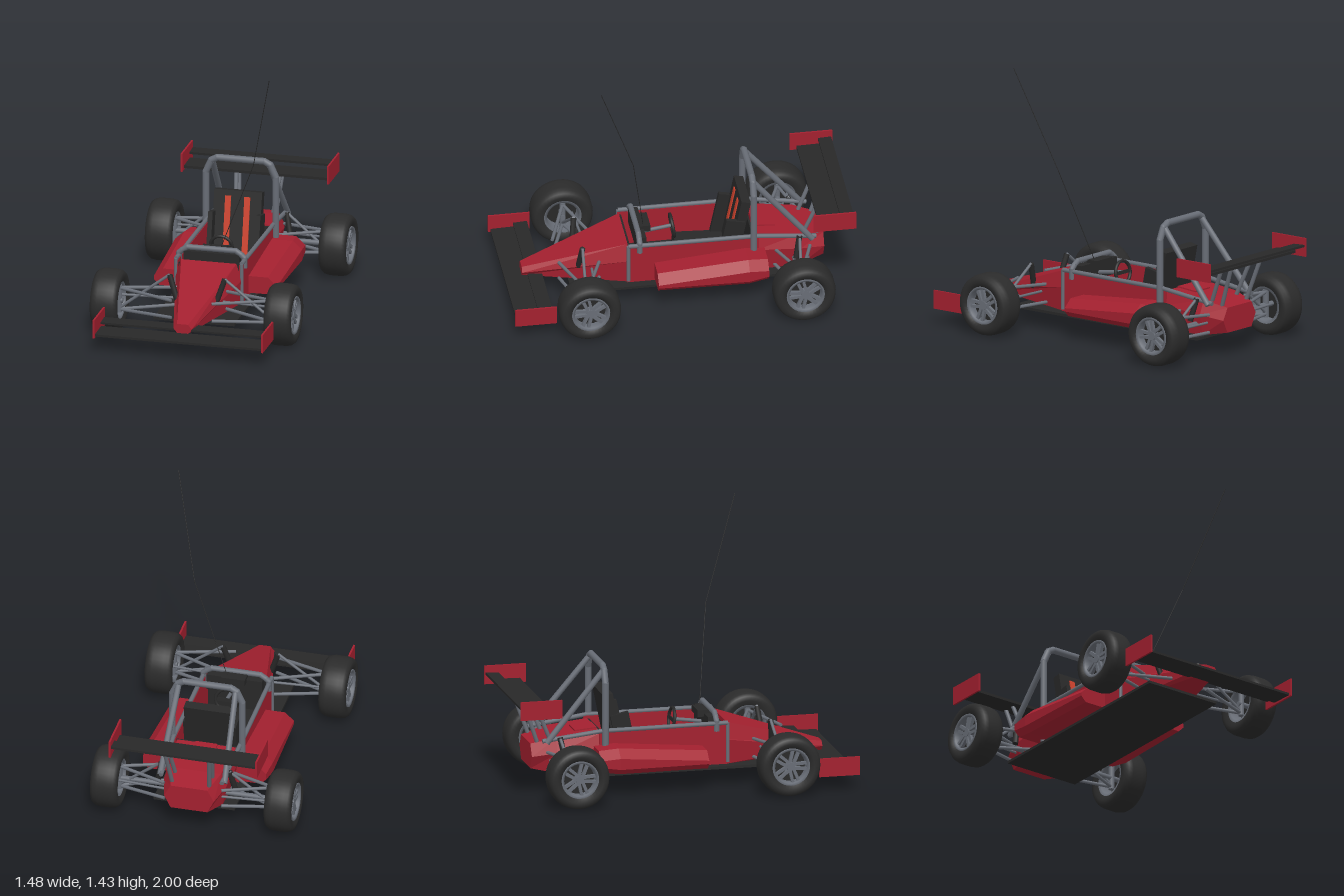
import * as THREE from 'three';

const mat = (name, color) => {
  const m = new THREE.MeshStandardMaterial({ color });
  m.name = name;
  return m;
};

export function createModel() {
  const red = mat('bodyRed', 0xa3202f);
  const steel = mat('steel', 0x686d76);
  const black = mat('black', 0x282828);
  const rubber = mat('rubber', 0x2b2b2b);
  const orange = mat('beltOrange', 0xcc412c);
  const silver = mat('buckleSilver', 0x9a9ca6);

  const root = new THREE.Group();
  root.name = 'openWheelBuggy';
  const turn = new THREE.Group();
  turn.name = 'turnedCar';
  turn.rotation.y = -0.314;
  root.add(turn);
  const car = new THREE.Group();
  car.name = 'car';
  car.position.x = -0.017;
  turn.add(car);

  const add = (name, geo, material, parent = car) => {
    const mesh = new THREE.Mesh(geo, material);
    mesh.name = name;
    parent.add(mesh);
    return mesh;
  };
  const box = (name, m, w, h, d, x, y, z, rx = 0, parent = car) => {
    const b = add(name, new THREE.BoxGeometry(w, h, d), m, parent);
    b.position.set(x, y, z);
    b.rotation.x = rx;
    return b;
  };
  // Round bar through a list of points, with balls at the bends
  const bar = (name, m, r, pts, parent = car) => {
    const g = new THREE.Group();
    g.name = name;
    parent.add(g);
    const v = pts.map(p => new THREE.Vector3(...p));
    for (let i = 0; i + 1 < v.length; i++) {
      const d = v[i + 1].clone().sub(v[i]);
      const c = add(name + 'Section', new THREE.CylinderGeometry(r, r, d.length(), 10), m, g);
      c.position.copy(v[i]).addScaledVector(d, 0.5);
      c.quaternion.setFromUnitVectors(new THREE.Vector3(0, 1, 0), d.normalize());
      if (i > 0) add(name + 'Bend', new THREE.SphereGeometry(r, 10, 8), m, g).position.copy(v[i]);
    }
    return g;
  };
  // Closed flat-faced body through cross-sections listed front to back, points anticlockwise from the front
  const loft = (name, m, sections) => {
    const pos = [];
    const P = (s, i) => [...s.pts[i % s.pts.length], s.z];
    const n = sections[0].pts.length;
    for (let k = 0; k + 1 < sections.length; k++) {
      const [a, b] = [sections[k], sections[k + 1]];
      for (let i = 0; i < n; i++) {
        pos.push(...P(a, i), ...P(b, i), ...P(b, i + 1), ...P(a, i), ...P(b, i + 1), ...P(a, i + 1));
      }
    }
    const [f, l] = [sections[0], sections[sections.length - 1]];
    for (let i = 1; i < n - 1; i++) {
      pos.push(...P(f, 0), ...P(f, i), ...P(f, i + 1), ...P(l, 0), ...P(l, i + 1), ...P(l, i));
    }
    const geo = new THREE.BufferGeometry();
    geo.setAttribute('position', new THREE.Float32BufferAttribute(pos, 3));
    geo.computeVertexNormals();
    return add(name, geo, m);
  };
  const hex = (z, bottomW, bottomY, midW, midY, topW, topY) => ({
    z, pts: [[-bottomW, bottomY], [bottomW, bottomY], [midW, midY], [topW, topY], [-topW, topY], [-midW, midY]],
  });

  // Bodywork
  box('floorPan', black, 0.44, 0.014, 1.25, 0, 0.1, -0.056);
  loft('nose', red, [
    hex(0.805, 0.03, 0.115, 0.05, 0.14, 0.03, 0.165),
    hex(0.26, 0.17, 0.108, 0.18, 0.24, 0.15, 0.33),
  ]);
  loft('engineCover', red, [
    hex(-0.42, 0.16, 0.108, 0.18, 0.24, 0.16, 0.315),
    hex(-0.66, 0.15, 0.108, 0.17, 0.22, 0.14, 0.295),
    hex(-0.79, 0.1, 0.13, 0.135, 0.2, 0.1, 0.265),
  ]);
  box('engineHatch', red, 0.12, 0.008, 0.12, 0, 0.313, -0.48, -0.08);
  box('cockpitFloor', black, 0.34, 0.01, 0.68, 0, 0.12, -0.08);
  box('seatBulkhead', black, 0.34, 0.2, 0.01, 0, 0.21, -0.41);
  box('frontBulkhead', black, 0.33, 0.2, 0.01, 0, 0.21, 0.25);

  for (const s of [1, -1]) {
    // Tub side and side pod
    box('tubSide', red, 0.014, 0.215, 0.7, s * 0.173, 0.217, -0.085);
    const pod = (z, outer, low, high) => {
      const pts = [[0.17, low], [outer - 0.03, low], [outer, low + 0.03], [outer, high - 0.045], [outer - 0.05, high], [0.17, high]];
      return { z, pts: s > 0 ? pts : pts.map(([x, y]) => [-x, y]).reverse() };
    };
    loft('sidePod', red, [pod(0.122, 0.335, 0.125, 0.218), pod(-0.36, 0.345, 0.125, 0.26), pod(-0.465, 0.335, 0.14, 0.25)]);

    // Frame rails and roll hoop braces
    bar('topRail', steel, 0.012, [[s * 0.178, 0.332, 0.26], [s * 0.18, 0.33, -0.42], [s * 0.165, 0.29, -0.74]]);
    bar('frontPost', steel, 0.01, [[s * 0.18, 0.12, 0.26], [s * 0.178, 0.332, 0.26]]);
    bar('rearBrace', steel, 0.016, [[s * 0.155, 0.65, -0.41], [s * 0.175, 0.28, -0.72]]);
    bar('wingStrut', steel, 0.011, [[s * 0.1, 0.27, -0.68], [s * 0.12, 0.485, -0.77]]);
    bar('wingStrut', steel, 0.011, [[s * 0.1, 0.26, -0.75], [s * 0.12, 0.485, -0.83]]);

    // Suspension: upper and lower wishbones, track rods and dampers
    for (const [hubZ, z1, z2, inner] of [[0.516, 0.4, 0.62, 0.11], [-0.627, -0.52, -0.71, 0.155]]) {
      for (const [yHub, yIn] of [[0.235, 0.225], [0.115, 0.13]]) {
        bar('wishbone', steel, 0.009, [[s * inner, yIn, z1], [s * 0.42, yHub, hubZ], [s * inner, yIn, z2]]);
      }
      bar('upright', steel, 0.016, [[s * 0.42, 0.1, hubZ], [s * 0.42, 0.25, hubZ]]);
      bar('axle', steel, 0.014, [[s * (hubZ > 0 ? 0.4 : 0.14), 0.165, hubZ], [s * 0.47, 0.165, hubZ]]);
      bar('trackRod', steel, 0.007, [[s * inner, 0.18, hubZ - 0.07], [s * 0.42, 0.18, hubZ - 0.05]]);
      const top = hubZ > 0 ? [s * 0.15, 0.325, 0.5] : [s * 0.185, 0.31, -0.65];
      bar('damper', black, 0.015, [top, [s * (hubZ > 0 ? 0.105 : 0.21), 0.19, hubZ]]);
      bar('pushRod', steel, 0.008, [top, [s * 0.41, 0.13, hubZ]]);
    }
  }
  const hoop = (name, r, z, half, base, shoulder, topHalf, top) => bar(name, steel, r, [
    [-half, base, z], [-half, shoulder, z], [-(half * 0.35 + topHalf * 0.65), top - 0.018, z], [-topHalf * 0.88, top, z],
    [topHalf * 0.88, top, z], [half * 0.35 + topHalf * 0.65, top - 0.018, z], [half, shoulder, z], [half, base, z]]);
  hoop('mainHoop', 0.018, -0.405, 0.19, 0.12, 0.59, 0.145, 0.673);
  hoop('frontHoop', 0.015, 0.2, 0.178, 0.29, 0.345, 0.15, 0.38);

  // Wings with end plates
  const slab = (name, w, t, zFront, zBack, y, tilt) =>
    box(name, black, w, t, zFront - zBack, 0, y, (zFront + zBack) / 2, tilt);
  slab('frontWingMain', 0.91, 0.012, 0.895, 0.765, 0.095, 0.03);
  slab('frontWingFlap', 0.91, 0.01, 0.775, 0.7, 0.123, 0.06);
  slab('rearWingMain', 0.79, 0.014, -0.725, -0.85, 0.488, 0.02);
  slab('rearWingFlap', 0.79, 0.012, -0.84, -0.91, 0.526, 0.05);
  for (const s of [1, -1]) {
    box('frontEndPlate', red, 0.01, 0.1, 0.221, s * 0.458, 0.13, 0.7965);
    box('rearEndPlate', red, 0.01, 0.1, 0.227, s * 0.398, 0.52, -0.8035);
  }

  // Seat, harness, dashboard and steering
  box('seatCushion', black, 0.27, 0.06, 0.34, 0, 0.155, -0.19, -0.05);
  const back = new THREE.Group();
  back.name = 'seatBack';
  back.position.set(0, 0.34, -0.34);
  back.rotation.x = -0.2;
  car.add(back);
  box('seatBackPad', black, 0.26, 0.35, 0.05, 0, 0, 0, 0, back);
  for (const s of [1, -1]) {
    box('seatBolster', black, 0.025, 0.24, 0.1, s * 0.13, -0.06, 0.035, 0, back);
    box('shoulderBelt', orange, 0.032, 0.31, 0.006, s * 0.052, -0.01, 0.028, 0, back);
  }
  box('harnessBuckle', silver, 0.036, 0.008, 0.036, 0, 0.19, -0.125);
  box('dashboard', black, 0.3, 0.09, 0.05, 0, 0.315, 0.185);
  box('instrumentPod', black, 0.13, 0.035, 0.07, 0, 0.36, 0.16);
  bar('steeringColumn', steel, 0.01, [[0, 0.325, 0.005], [0, 0.3, 0.18]]);
  const steering = new THREE.Group();
  steering.name = 'steeringWheel';
  steering.position.set(0, 0.325, 0);
  steering.rotation.x = 0.14;
  car.add(steering);
  add('steeringRim', new THREE.TorusGeometry(0.06, 0.009, 8, 28), black, steering);
  box('steeringSpoke', black, 0.11, 0.018, 0.008, 0, 0, 0, 0, steering);

  // Wheels: rounded tyre, rim ring and five paired spokes
  const tyreProfile = [[0.1, -0.064], [0.125, -0.075], [0.148, -0.07], [0.16, -0.054], [0.165, -0.03], [0.165, 0.03],
    [0.16, 0.054], [0.148, 0.07], [0.125, 0.075], [0.1, 0.064], [0.094, 0.04], [0.094, -0.04], [0.1, -0.064]];
  const tyreGeo = new THREE.LatheGeometry(tyreProfile.map(p => new THREE.Vector2(...p)).reverse(), 40);
  const rimProfile = [[0.102, 0.064], [0.1, 0.07], [0.088, 0.066], [0.084, 0.04], [0.084, -0.06], [0.102, -0.064]];
  const rimGeo = new THREE.LatheGeometry(rimProfile.map(p => new THREE.Vector2(...p)), 32);
  const rimSteel = mat('rimSteel', 0x686d76);
  rimSteel.side = THREE.DoubleSide;
  rubber.side = THREE.DoubleSide;
  for (const s of [1, -1]) {
    for (const z of [0.516, -0.627]) {
      const wheel = new THREE.Group();
      wheel.name = z > 0 ? 'frontWheel' : 'rearWheel';
      wheel.position.set(s * 0.472, 0.165, z);
      wheel.rotation.z = -s * Math.PI / 2;
      car.add(wheel);
      add('tyre', tyreGeo, rubber, wheel);
      add('rim', rimGeo, rimSteel, wheel);
      add('brakeDisc', new THREE.CylinderGeometry(0.083, 0.083, 0.02, 28), black, wheel).position.y = 0.015;
      add('hub', new THREE.CylinderGeometry(0.022, 0.026, 0.04, 16), steel, wheel).position.y = 0.04;
      for (let i = 0; i < 5; i++) {
        const spoke = new THREE.Group();
        spoke.name = 'spokePair';
        spoke.rotation.y = i * Math.PI * 0.4;
        wheel.add(spoke);
        for (const k of [1, -1]) box('spoke', steel, 0.016, 0.018, 0.08, k * 0.013, 0.048, 0.05, 0, spoke).rotation.y = k * 0.08;
      }
    }
  }

  // Whip aerial
  bar('aerial', black, 0.002, [[-0.04, 0.34, 0.15], [0.135, 0.88, 0.3], [0.205, 1.43, 0.525]], root);
  return root;
}
